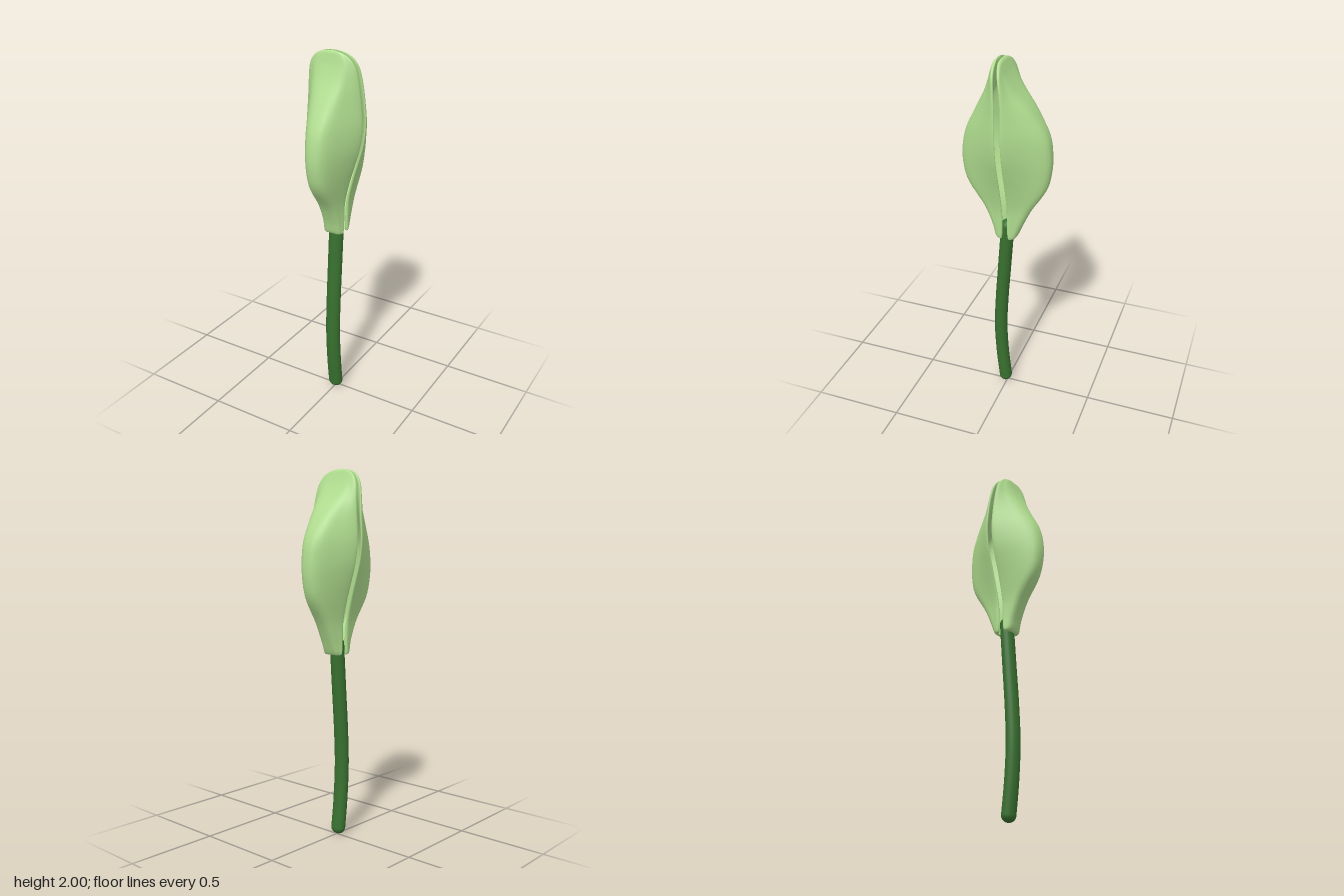
import * as THREE from 'three';

const petalMat = new THREE.MeshStandardMaterial({ color: 0xb0dd8f, side: THREE.DoubleSide });
const stemMat = new THREE.MeshStandardMaterial({ color: 0x38702f });

// Height, half width, ridge half width and half thickness, shared by both petals
const outline = [
  [1.02, 0.045, 0.03, 0.003], [1.03, 0.052, 0.034, 0.01], [1.1, 0.052, 0.034, 0.011],
  [1.2, 0.057, 0.034, 0.011], [1.32, 0.086, 0.036, 0.011], [1.42, 0.117, 0.039, 0.011],
  [1.52, 0.145, 0.042, 0.011], [1.63, 0.158, 0.046, 0.011], [1.75, 0.151, 0.056, 0.011],
  [1.85, 0.142, 0.066, 0.011], [1.92, 0.13, 0.07, 0.01], [1.965, 0.103, 0.06, 0.009],
  [1.99, 0.062, 0.038, 0.007], [2.0, 0.012, 0.007, 0.001],
];
// Depth of the side edge and of the ridge for each height
const frontDepth = [
  [0.026, 0.036], [0.018, 0.047], [0.013, 0.066], [0.014, 0.112], [0.015, 0.197], [0.015, 0.226],
  [0.015, 0.228], [0.015, 0.204], [0.018, 0.144], [0.026, 0.092], [0.034, 0.066], [0.041, 0.055],
  [0.046, 0.051], [0.049, 0.05],
];
const backDepth = [
  [-0.026, -0.036], [-0.018, -0.047], [-0.013, -0.076], [-0.014, -0.124], [-0.015, -0.197], [-0.015, -0.222],
  [-0.015, -0.224], [-0.015, -0.203], [-0.013, -0.132], [-0.006, -0.052], [0.004, -0.008], [0.014, 0.012],
  [0.024, 0.021], [0.028, 0.027],
];

// Cupped petal: a thick, rounded-trapezoid shell lofted along its height
function petal(name, depth) {
  const rows = 56, half = 28, ring = half * 2;
  const spline = pts => new THREE.CatmullRomCurve3(pts, false, 'catmullrom');
  const shape = spline(outline.map(([y, w, q]) => new THREE.Vector3(w, y, q)));
  const bulge = spline(depth.map(([e, r], i) => new THREE.Vector3(e, outline[i][3], r)));
  const pos = [], index = [];
  for (let i = 0; i <= rows; i++) {
    const { x: w, y, z: q } = shape.getPoint(i / rows);
    const { x: e, y: t, z: r } = bulge.getPoint(i / rows);
    const side = [[w, e], [(w + q) / 2, e + (r - e) * 0.47], [q, e + (r - e) * 0.93]];
    const section = new THREE.SplineCurve([
      ...side.map(([x, z]) => new THREE.Vector2(-x, z)),
      new THREE.Vector2(0, r),
      ...side.slice().reverse().map(([x, z]) => new THREE.Vector2(x, z)),
    ]);
    for (let j = 0; j < ring; j++) {
      const u = -Math.cos(j / half * Math.PI);
      const p = section.getPoint((u + 1) / 2), d = section.getTangent((u + 1) / 2);
      const h = t * Math.sqrt(Math.max(0, 1 - u ** 8)) * (j < half ? 1 : -1);
      pos.push(p.x - d.y * h, Math.min(y, 2), p.y + d.x * h);
    }
  }
  for (let i = 0; i < rows; i++) for (let j = 0; j < ring; j++) {
    const a = i * ring + j, b = i * ring + (j + 1) % ring;
    index.push(a, b, b + ring, a, b + ring, a + ring);
  }
  // Close the thin rims at both ends
  for (const k of [0, rows * ring]) for (let j = 0; j < half; j++) {
    const a = k + j, b = k + j + 1, c = k + (ring - j) % ring, d = k + ring - j - 1;
    if (k) index.push(a, b, d, a, d, c);
    else index.push(a, d, b, a, c, d);
  }
  const geo = new THREE.BufferGeometry();
  geo.setAttribute('position', new THREE.Float32BufferAttribute(pos, 3));
  geo.setIndex(index);
  geo.computeVertexNormals();
  const mesh = new THREE.Mesh(geo, petalMat);
  mesh.name = name;
  return mesh;
}

// Gently bowed stem with rounded ends
function stem() {
  const group = new THREE.Group();
  group.name = 'stem';
  const path = new THREE.CatmullRomCurve3(
    [[0.04, 0.012], [0.2, 0.03], [0.4, 0.041], [0.6, 0.034], [0.8, 0.02], [1.0, 0.006], [1.08, 0.001]]
      .map(([y, z]) => new THREE.Vector3(0, y, z)));
  const tube = new THREE.Mesh(new THREE.TubeGeometry(path, 40, 0.036, 20), stemMat);
  tube.name = 'stalk';
  group.add(tube);
  for (const [name, t] of [['stalkFoot', 0], ['stalkTop', 1]]) {
    const cap = new THREE.Mesh(new THREE.SphereGeometry(0.036, 20, 12), stemMat);
    cap.name = name;
    cap.position.copy(path.getPoint(t));
    group.add(cap);
  }
  group.scale.x = 1.14;
  return group;
}

export function createModel() {
  const model = new THREE.Group();
  model.name = 'flowerBud';
  model.add(stem(), petal('frontPetal', frontDepth), petal('backPetal', backDepth));
  return model;
}
